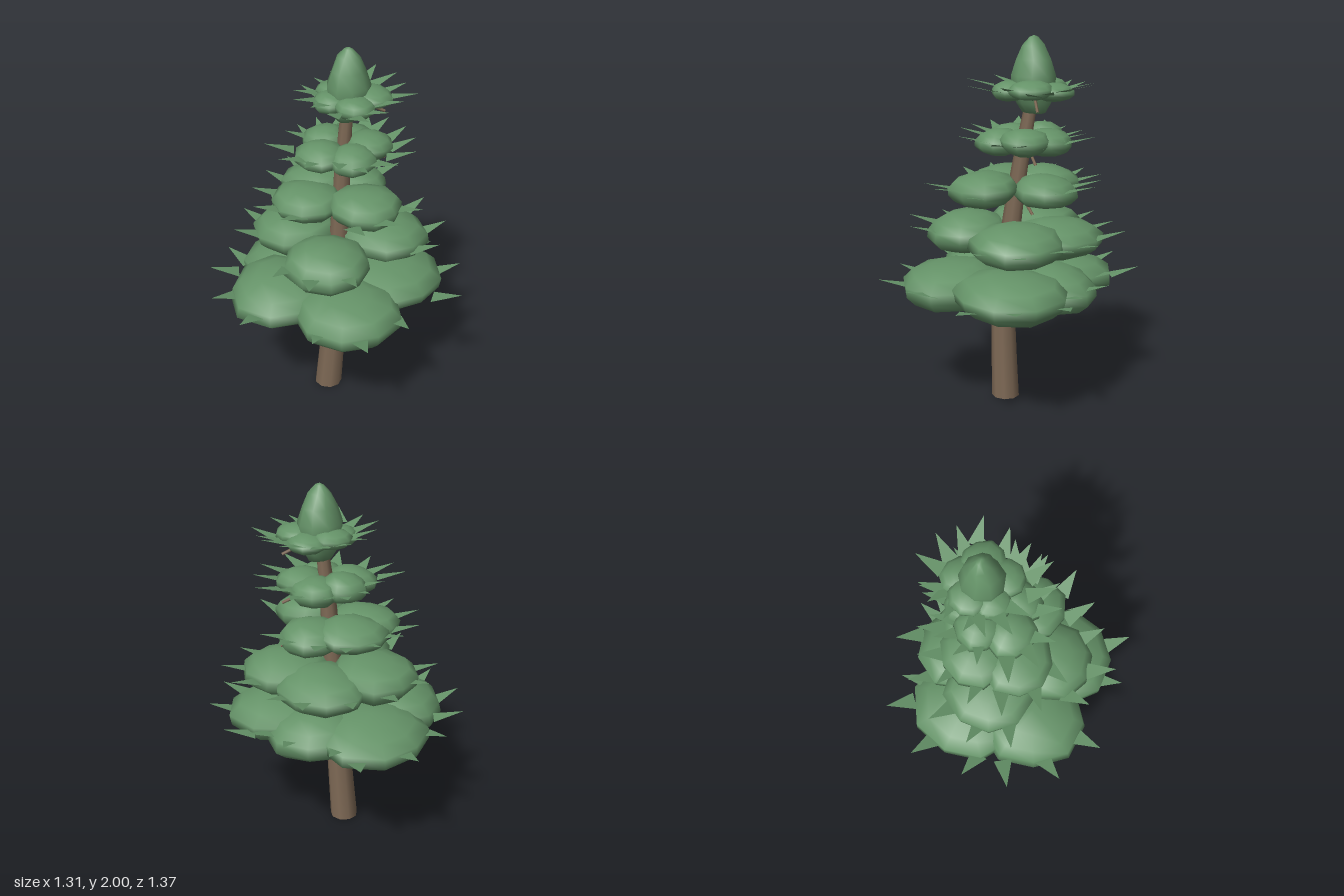
import * as THREE from 'three';
import { mergeVertices } from 'three/addons/utils/BufferGeometryUtils.js';

const foliage = new THREE.MeshStandardMaterial({ color: 0x659368, side: THREE.DoubleSide });
foliage.name = 'foliage green';
const bark = new THREE.MeshStandardMaterial({ color: 0x7f6a56 });
bark.name = 'bark brown';

// centre line of the leaning trunk
const spine = new THREE.CatmullRomCurve3([
  [0, 0, 0.035], [0.02, 0.55, 0.068], [0.065, 1, 0.055], [0.12, 1.4, 0.03], [0.18, 1.72, 0.01],
].map((p) => new THREE.Vector3(...p)));

// each tier: height, half thickness, centre, and the angle (degrees from +x toward +z) and reach of its cushions
const tiers = [
  { y: 0.685, h: 0.128, x: 0.03, z: 0.05, angles: [-80, -150, 126, 41, -19], reach: [0.63, 0.6, 0.58, 0.6, 0.51] },
  { y: 0.95, h: 0.11, x: 0.06, z: 0.05, angles: [154, -106, -33, 38], reach: [0.48, 0.49, 0.49, 0.49] },
  { y: 1.215, h: 0.088, x: 0.09, z: 0.045, angles: [-152, -81, -14, 102], reach: [0.38, 0.38, 0.34, 0.39] },
  { y: 1.465, h: 0.072, x: 0.13, z: 0.025, angles: [-163, -90, -21, 44, 120], reach: [0.28, 0.25, 0.26, 0.26, 0.26] },
  { y: 1.73, h: 0.05, x: 0.18, z: 0.015, angles: [-155, -84, -15, 52, 124], reach: [0.2, 0.2, 0.22, 0.23, 0.22] },
];

function seeded(seed) {
  return () => {
    seed = (seed * 16807) % 2147483647;
    return seed / 2147483647;
  };
}

function add(parent, geometry, material, name) {
  const mesh = new THREE.Mesh(geometry, material);
  mesh.name = name;
  parent.add(mesh);
  return mesh;
}

// join seams so the surface shades smoothly
function weld(geometry) {
  geometry.deleteAttribute('uv');
  geometry.deleteAttribute('normal');
  const welded = mergeVertices(geometry, 1e-5);
  welded.computeVertexNormals();
  return welded;
}

// flattened, irregular cushion of foliage with a drooping outer end
function cushion(length, height, width, seed) {
  const g = new THREE.SphereGeometry(1, 9, 7);
  const p = g.attributes.position;
  for (let i = 0; i < p.count; i++) {
    const x = p.getX(i), y = p.getY(i), z = p.getZ(i);
    const bump = 0.97 + 0.06 * Math.sin(3.1 * x + seed * 2.3) * Math.cos(2.7 * z + seed)
      + 0.03 * Math.sin(4 * y + seed * 1.7);
    p.setXYZ(i, x * bump * length, (y * bump - 0.1 * x) * height, z * bump * width);
  }
  return weld(g);
}

// flat triangles that point outward and rise toward the tip, from a list of { angle, radius }
function needles(tips, tier, length, width, random) {
  const points = [];
  for (const { angle, radius } of tips) {
    const x = tier.x + Math.cos(angle) * radius, z = tier.z + Math.sin(angle) * radius;
    const a = angle + (random() - 0.5) * 0.6;
    const dx = Math.cos(a), dz = Math.sin(a), w = width / 2;
    const bx = x - dx * length, bz = z - dz * length;
    const base = tier.y + (random() - 0.5) * 0.03;
    points.push(x, base + length * 0.25, z, bx + dz * w, base, bz - dx * w, bx - dz * w, base, bz + dx * w);
  }
  const g = new THREE.BufferGeometry();
  g.setAttribute('position', new THREE.Float32BufferAttribute(points, 3));
  g.computeVertexNormals();
  return g;
}

function buildTier(tier, index) {
  const group = new THREE.Group();
  group.name = 'branchTier' + (index + 1);
  const random = seeded(7100 + index * 9700);
  const tips = [];
  tier.angles.forEach((degrees, i) => {
    const angle = THREE.MathUtils.degToRad(degrees), reach = tier.reach[i];
    const shape = cushion(reach * 0.5, tier.h, reach * 0.52, index * 5 + i + 1);
    const mesh = add(group, shape, foliage, 'needleCushion');
    mesh.position.set(tier.x + Math.cos(angle) * reach * 0.51, tier.y + (i % 2 ? 0.008 : -0.008),
      tier.z + Math.sin(angle) * reach * 0.51);
    mesh.rotation.y = -angle;
    // fan of needles around the outer end
    for (const turn of [-0.42, 0, 0.42]) {
      tips.push({ angle: angle + turn, radius: reach + 0.04 + index * 0.006 + 0.08 * random() });
    }
  });
  add(group, needles(tips, tier, 0.16 - index * 0.003, 0.1 - index * 0.004, random), foliage, 'needles');

  // bare twig sloping down under the foliage
  const start = new THREE.Vector3(tier.x, tier.y, tier.z);
  const end = new THREE.Vector3(0.33, tier.y - 0.095, tier.z + 0.12);
  add(group, new THREE.TubeGeometry(new THREE.LineCurve3(start, end), 1, 0.008, 5), bark, 'twig');
  return group;
}

// tapered cylinder bent along the spine
function buildTrunk() {
  const g = new THREE.CylinderGeometry(1, 1, 1, 9, 10);
  const p = g.attributes.position;
  for (let i = 0; i < p.count; i++) {
    const t = p.getY(i) + 0.5;
    const s = spine.getPoint(t);
    const r = 0.076 - 0.046 * t;
    p.setXYZ(i, s.x + p.getX(i) * r, s.y, s.z + p.getZ(i) * r);
  }
  return g;
}

function buildCrown() {
  const profile = [[0, 1.605], [0.07, 1.61], [0.095, 1.66], [0.112, 1.73], [0.117, 1.8],
    [0.094, 1.88], [0.052, 1.95], [0.018, 1.99], [0, 2]].map((q) => new THREE.Vector2(...q));
  const g = new THREE.LatheGeometry(profile, 9);
  const p = g.attributes.position;
  // blunter on top and narrower at the base from the side than from the front
  for (let i = 0; i < p.count; i++) {
    const y = p.getY(i);
    const k = y > 1.88 ? 0.9 + (y - 1.88) * 5 : Math.min(0.98, 0.65 + (y - 1.6) * 4) - Math.max(0, y - 1.8);
    p.setXYZ(i, p.getX(i) + 0.182, y, p.getZ(i) * k + 0.012);
  }
  return weld(g);
}

export function createModel() {
  const tree = new THREE.Group();
  tree.name = 'pineTree';
  add(tree, buildTrunk(), bark, 'trunk');
  tiers.forEach((tier, i) => tree.add(buildTier(tier, i)));
  add(tree, buildCrown(), foliage, 'crown');
  return tree;
}
